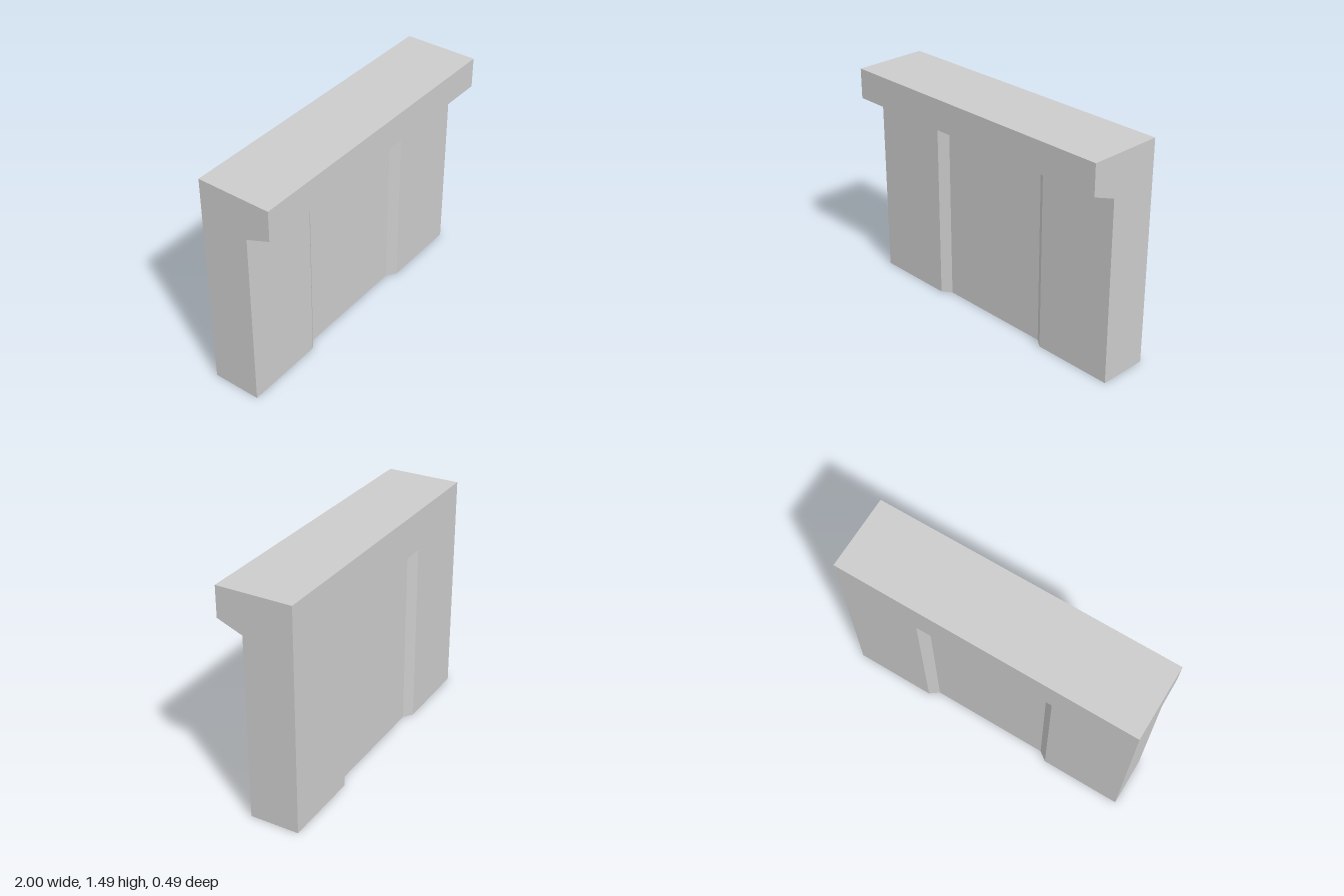
import * as THREE from 'three';

const HALF = 1;          // half width
const FRONT = 0.08;      // wall front face
const BACK = -0.245;     // wall back face
const LIP = 0.245;       // cornice front face
const WALL_TOP = 1.22;
const TOP = 1.485;
const INSET = 0.045;     // depth of the recessed panels

const toShape = (pts) => new THREE.Shape(pts.map(([x, y]) => new THREE.Vector2(x, y)));

export function createModel() {
  const group = new THREE.Group();
  group.name = 'wallSection';
  const material = new THREE.MeshStandardMaterial({ color: 0xcccccc, flatShading: true });

  const add = (name, geometry) => {
    const mesh = new THREE.Mesh(geometry, material);
    mesh.name = name;
    group.add(mesh);
  };

  // Wall: plan with a bevelled recess on each face, extruded upwards
  const face = (z, inset) => [
    [-HALF, z], [-0.46, z], [-0.4, z + inset],
    [0.4, z + inset], [0.46, z], [HALF, z],
  ];
  const plan = [...face(-FRONT, INSET), ...face(-BACK, -INSET).reverse()];
  const wall = new THREE.ExtrudeGeometry(toShape(plan), { depth: WALL_TOP, bevelEnabled: false });
  wall.rotateX(-Math.PI / 2);
  add('recessedWall', wall);

  // Cornice: overhanging side profile (z, y) with sloped underside, extruded along x
  const profile = [[BACK, WALL_TOP], [FRONT, WALL_TOP], [LIP, 1.285], [LIP, TOP], [BACK, TOP]];
  const cornice = new THREE.ExtrudeGeometry(toShape(profile), { depth: 2 * HALF, bevelEnabled: false });
  cornice.rotateY(-Math.PI / 2);
  cornice.translate(HALF, 0, 0);
  add('cornice', cornice);

  return group;
}
